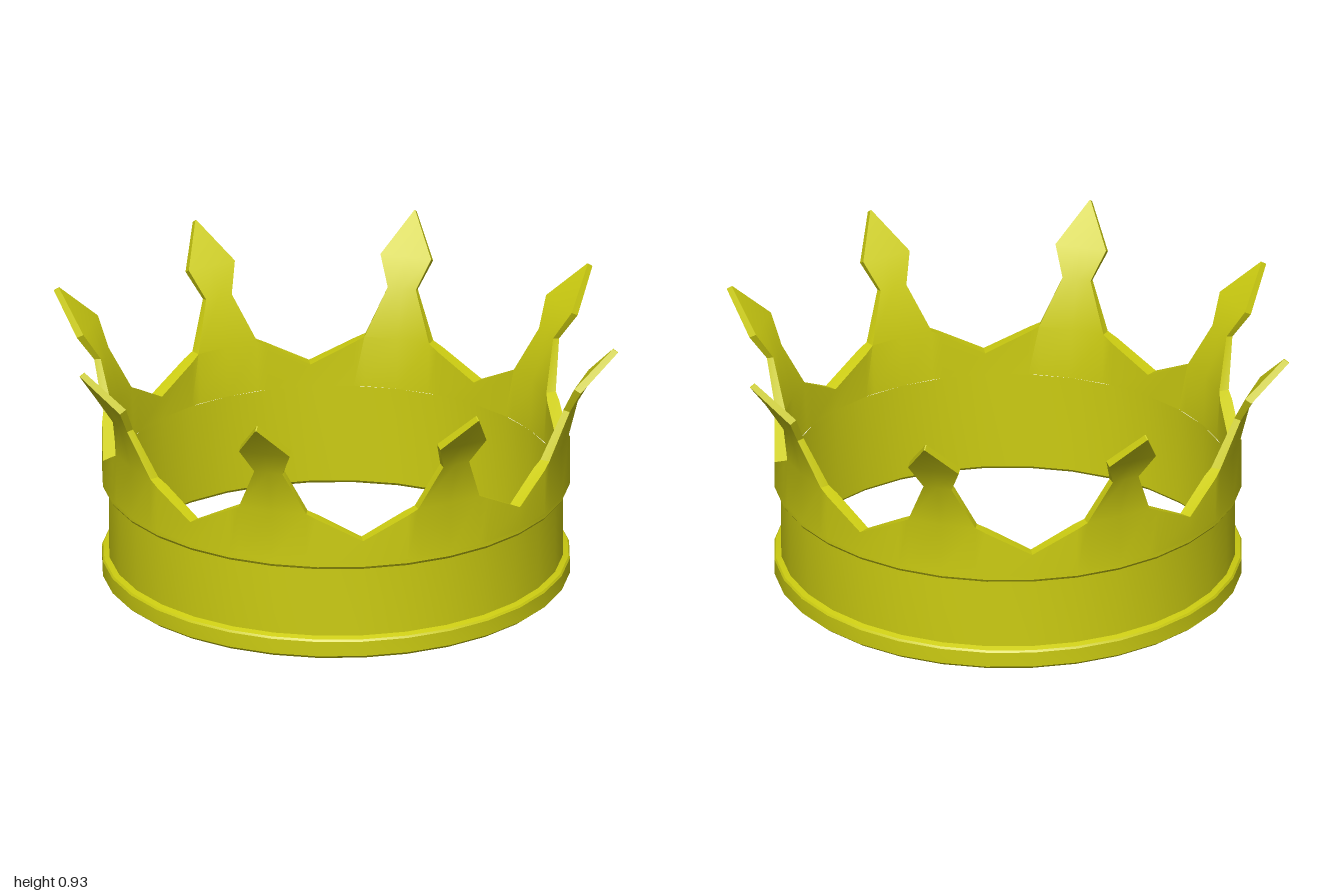
import * as THREE from 'three';
import { toCreasedNormals } from 'three/addons/utils/BufferGeometryUtils.js';

const SPIKES = 8, SEAM = 0.36, OUTER = 0.8, INNER = 0.757;
const STEP = (Math.PI * 2) / SPIKES;
const CREASE = 0.45;

// A node is a pair of points: one on the outer skin, one on the inner skin.
function node(x, zOut, zIn, yOut, yIn = yOut, xIn = x) {
  return { out: new THREE.Vector3(x, yOut, zOut), inn: new THREE.Vector3(xIn, yIn, zIn) };
}

function wallNode(deg, y, inner = INNER) {
  const a = THREE.MathUtils.degToRad(deg), s = Math.sin(a), c = Math.cos(a);
  return node(OUTER * s, OUTER * c, inner * c, y, y, inner * s);
}

function pointedRimGeometry() {
  const pos = [];
  const up = new THREE.Vector3(0, 1, 0);
  let turn = 0;
  const quad = (...p) => {
    for (const k of [0, 1, 2, 0, 2, 3]) pos.push(...p[k].clone().applyAxisAngle(up, turn).toArray());
  };
  // Both skins of one patch, corners counter-clockwise from outside
  const patch = (a, b, c, d) => {
    quad(a.out, b.out, c.out, d.out);
    quad(d.inn, c.inn, b.inn, a.inn);
  };

  // Scalloped wall: [angle, height], falling from the spike root to the valley
  const columns = [[-22.5, 0.44], [-11.25, 0.521], [-8.6, 0.54], [0, 0.54], [8.6, 0.54], [11.25, 0.521], [22.5, 0.44]];
  const low = columns.map(([d]) => wallNode(d, SEAM));
  const top = columns.map(([d, y]) => wallNode(d, y, Math.abs(d) < 9 ? 0.766 : INNER));

  // Blade rows: half width, outer z, inner z, outer y, inner y
  const blade = [
    [0.05, 0.843, 0.82, 0.7, 0.705],
    [0.09, 0.893, 0.87, 0.79, 0.803],
    [0.002, 1.0, 0.982, 0.918, 0.93],
  ];
  const rows = [[top[2], top[3], top[4]],
    ...blade.map(([w, zo, zi, yo, yi]) => [-w, 0, w].map((x) => node(x, zo, zi, yo, yi)))];

  // Upper outline of one sector, right to left
  const outline = [top[6], top[5], ...rows.map((r) => r[2]),
    ...rows.map((r) => r[0]).reverse(), top[1], top[0]];

  for (let n = 0; n < SPIKES; n++) {
    turn = n * STEP;
    for (let i = 0; i < 6; i++) patch(low[i], low[i + 1], top[i + 1], top[i]);
    for (let j = 0; j < rows.length - 1; j++) {
      for (let i = 0; i < 2; i++) patch(rows[j][i], rows[j][i + 1], rows[j + 1][i + 1], rows[j + 1][i]);
    }
    for (let i = 0; i < outline.length - 1; i++) {
      const p = outline[i], q = outline[i + 1];
      quad(p.out, p.inn, q.inn, q.out);
    }
  }
  const geo = new THREE.BufferGeometry();
  geo.setAttribute('position', new THREE.Float32BufferAttribute(pos, 3));
  return toCreasedNormals(geo, CREASE);
}

function bandGeometry() {
  // Recessed band between a base moulding and the lip under the spikes
  const profile = [
    [INNER, SEAM], [INNER, 0.01], [0.765, 0], [0.785, 0.003], [OUTER, 0.015],
    [OUTER, 0.068], [0.795, 0.075], [0.777, 0.082], [0.777, 0.333],
    [0.793, 0.335], [OUTER, 0.345], [OUTER, SEAM],
  ].map(([r, y]) => new THREE.Vector2(r, y));
  return toCreasedNormals(new THREE.LatheGeometry(profile, SPIKES * 4), CREASE);
}

export function createModel() {
  const crown = new THREE.Group();
  crown.name = 'crown';
  const gold = new THREE.MeshStandardMaterial({ color: 0xcccc11 });
  const add = (name, geometry) => {
    const mesh = new THREE.Mesh(geometry, gold);
    mesh.name = name;
    crown.add(mesh);
  };
  add('band', bandGeometry());
  add('pointedRim', pointedRimGeometry());
  return crown;
}
